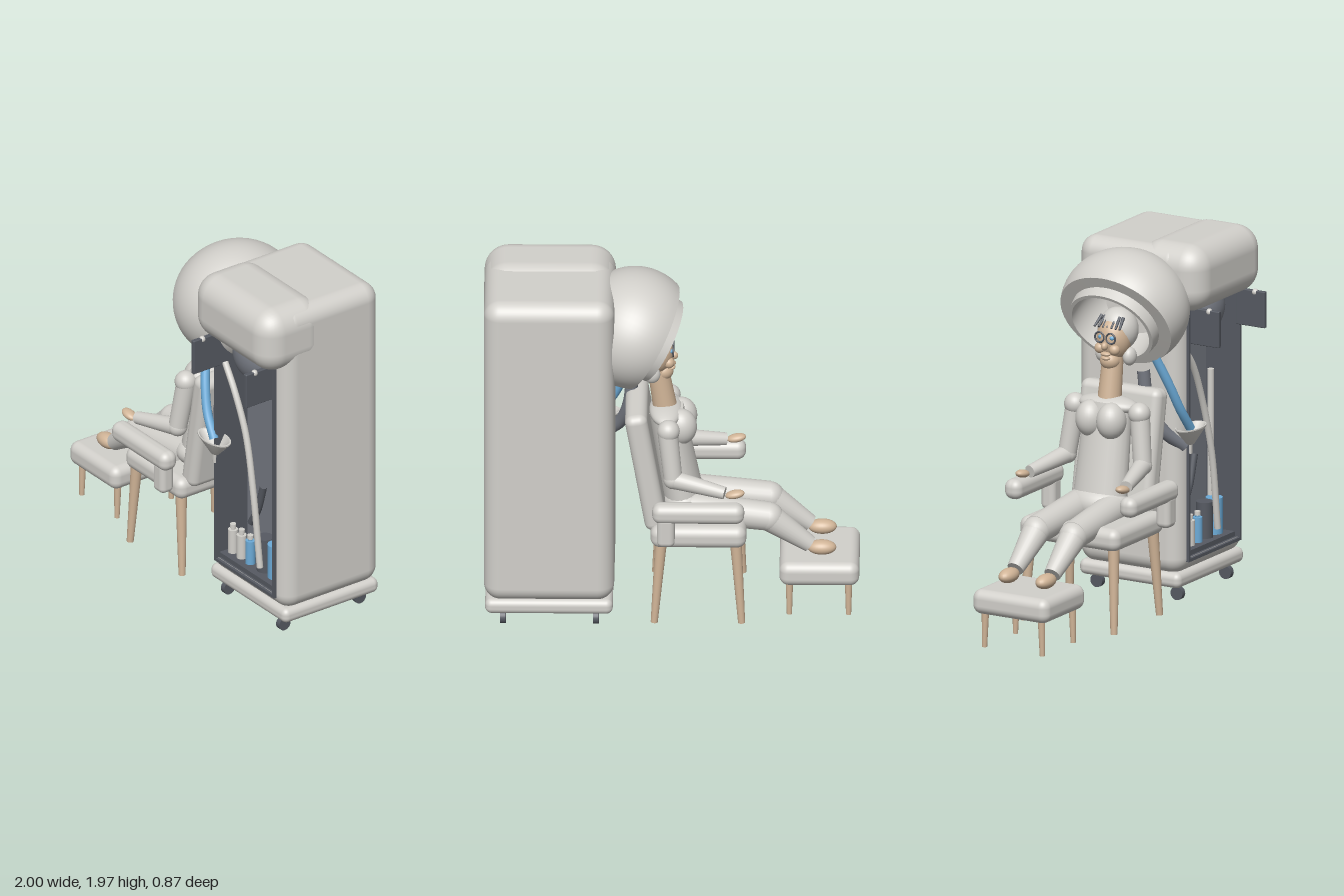
import * as THREE from 'three';
import { toCreasedNormals } from 'three/addons/utils/BufferGeometryUtils.js';
import { RoundedBoxGeometry } from 'three/addons/geometries/RoundedBoxGeometry.js';

const mat = (name, color) => Object.assign(new THREE.MeshStandardMaterial({ color }), { name });
const V = (x, y, z) => new THREE.Vector3(x, y, z);

export function createModel() {
  const shell = mat('warm grey shell', 0xd2d0cb);
  const slate = mat('slate interior', 0x777b84);
  const dark = mat('dark trim', 0x565a62);
  const tan = mat('tan skin and wood', 0xd0b497);
  const blue = mat('blue', 0x6cabd8);

  const model = new THREE.Group();
  model.name = 'salonDryer';
  const group = (name, parent = model) => {
    const g = new THREE.Group();
    g.name = name;
    parent.add(g);
    return g;
  };
  const add = (parent, name, geo, m) => {
    const mesh = new THREE.Mesh(geo, m);
    mesh.name = name;
    parent.add(mesh);
    return mesh;
  };
  // Box given by its extents, rounded when r > 0
  const box = (p, name, x0, x1, y0, y1, z0, z1, r, m) => {
    const w = x1 - x0, h = y1 - y0, d = z1 - z0;
    const geo = r ? new RoundedBoxGeometry(w, h, d, 5, r) : new THREE.BoxGeometry(w, h, d);
    const mesh = add(p, name, geo, m);
    mesh.position.set((x0 + x1) / 2, (y0 + y1) / 2, (z0 + z1) / 2);
    return mesh;
  };
  // Tapered round bar from a to b
  const bar = (p, name, a, b, ra, rb, m) => {
    const dir = b.clone().sub(a);
    const mesh = add(p, name, new THREE.CylinderGeometry(rb, ra, dir.length(), 24), m);
    mesh.position.copy(a).addScaledVector(dir, 0.5);
    mesh.quaternion.setFromUnitVectors(V(0, 1, 0), dir.normalize());
    return mesh;
  };
  const ball = (p, name, x, y, z, rx, ry, rz, m) => {
    const mesh = add(p, name, new THREE.SphereGeometry(1, 28, 18), m);
    mesh.position.set(x, y, z);
    mesh.scale.set(rx, ry, rz);
    return mesh;
  };
  const hose = (p, name, pts, r, m) =>
    add(p, name, new THREE.TubeGeometry(new THREE.CatmullRomCurve3(pts), 32, r, 14), m);
  const SIDES = [-1, 1];

  // Cabinet shell: rounded box whose flat front is left open
  const cabinet = group('cabinet');
  const body = box(cabinet, 'cabinetBody', 0.303, 0.997, 0.15, 1.95, -0.4, 0.245, 0.09, shell);
  const src = body.geometry, pos = src.attributes.position, keepP = [], keepN = [];
  for (let i = 0; i < pos.count; i += 3) {
    if ([0, 1, 2].every(k => pos.getZ(i + k) > 0.645 / 2 - 1e-4)) continue;
    for (let k = i; k < i + 3; k++) {
      keepP.push(pos.getX(k), pos.getY(k), pos.getZ(k));
      keepN.push(src.attributes.normal.getX(k), src.attributes.normal.getY(k), src.attributes.normal.getZ(k));
    }
  }
  body.geometry = new THREE.BufferGeometry();
  body.geometry.setAttribute('position', new THREE.Float32BufferAttribute(keepP, 3));
  body.geometry.setAttribute('normal', new THREE.Float32BufferAttribute(keepN, 3));
  box(cabinet, 'overhangingTop', 0.3, 1, 1.6, 1.97, -0.05, 0.37, 0.13, shell);
  box(cabinet, 'base', 0.31, 0.99, 0.08, 0.165, -0.39, 0.24, 0.035, shell);
  for (const x of [0.4, 0.895]) for (const z of [-0.32, 0.18]) {
    bar(cabinet, 'casterWheel', V(x - 0.015, 0.037, z), V(x + 0.015, 0.037, z), 0.037, 0.037, dark);
    bar(cabinet, 'casterStem', V(x, 0.04, z), V(x, 0.09, z), 0.012, 0.012, shell);
  }

  // Recess lining and frame
  box(cabinet, 'recessBack', 0.38, 0.92, 0.2, 1.75, 0.03, 0.05, 0, slate);
  for (const x of [0.383, 0.902]) box(cabinet, 'recessWall', x, x + 0.017, 0.22, 1.65, 0.03, 0.26, 0, dark);
  box(cabinet, 'recessFloor', 0.383, 0.919, 0.22, 0.237, 0.03, 0.26, 0, dark);
  box(cabinet, 'shelf', 0.405, 0.885, 0.245, 0.272, 0.05, 0.24, 0, dark);
  for (const x of [0.419, 0.887]) {
    box(cabinet, 'hingePlate', x - 0.013, x + 0.013, 1.42, 1.62, 0.25, 0.43, 0.005, dark);
    ball(cabinet, 'hingeKnob', x, 1.61, 0.365, 0.018, 0.018, 0.018, shell);
  }

  // Scalloped bowl under the overhang
  ball(cabinet, 'bowl', 0.65, 1.56, 0.17, 0.155, 0.155, 0.12, slate);
  for (let i = 0; i <= 12; i++) {
    const a = Math.PI + (i / 12) * Math.PI;
    ball(cabinet, 'bowlScallop', 0.65 + 0.147 * Math.cos(a), 1.56 + 0.147 * Math.sin(a), 0.17, 0.018, 0.018, 0.02, dark);
  }

  // Shelf contents
  const contents = group('shelfContents');
  [[0.445, shell], [0.522, shell], [0.6, blue]].forEach(([x, m]) => {
    bar(contents, 'bottle', V(x, 0.27, 0.18), V(x, 0.41, 0.18), 0.027, 0.027, m);
    bar(contents, 'bottleNeck', V(x, 0.41, 0.18), V(x, 0.425, 0.18), 0.012, 0.012, m);
    bar(contents, 'bottleCap', V(x, 0.42, 0.18), V(x, 0.442, 0.18), 0.017, 0.017, shell);
  });
  [[0.705, dark], [0.803, blue]].forEach(([x, m]) =>
    bar(contents, 'jar', V(x, 0.27, 0.16), V(x, 0.47, 0.16), 0.046, 0.046, m));
  bar(contents, 'uprightTube', V(0.833, 0.28, 0.12), V(0.833, 1.165, 0.12), 0.018, 0.018, shell);
  hose(contents, 'paleHose', [V(0.4, 1.41, 0.2), V(0.5, 1.28, 0.21), V(0.6, 1.06, 0.21), V(0.68, 0.75, 0.22), V(0.74, 0.32, 0.22)], 0.018, shell);
  hose(contents, 'darkHose', [V(0.54, 0.475, 0.13), V(0.6, 0.58, 0.13), V(0.65, 0.74, 0.13)], 0.02, dark);

  // Funnel with drain hoses
  const funnelProfile = [[0.012, 0.82], [0.014, 0.87], [0.03, 0.875], [0.12, 0.965], [0.12, 0.972], [0.11, 0.972], [0.02, 0.885], [0, 0.885]];
  const funnel = add(model, 'funnel', toCreasedNormals(new THREE.LatheGeometry(
    funnelProfile.map(([x, y]) => new THREE.Vector2(x, y)), 36), 0.6), shell);
  funnel.position.set(0.393, 0, 0.265);
  funnel.scale.z = 0.55;
  hose(model, 'blueHose', [V(0.19, 1.38, 0.17), V(0.25, 1.22, 0.22), V(0.31, 1.08, 0.25), V(0.39, 0.96, 0.265)], 0.025, blue);
  hose(model, 'greyHose', [V(0.21, 1.3, 0.08), V(0.23, 1.1, 0.1), V(0.28, 0.96, 0.16), V(0.38, 0.86, 0.23)], 0.035, slate);

  // Everything below shares the seat's centre line
  const seated = group('seatedSet');
  seated.position.z = -0.025;

  // Dryer helmet: double-walled dome with an inner lip
  const R = 0.32, profile = [];
  for (let i = 0; i <= 12; i++) {
    const a = (i / 12) * Math.PI / 2;
    profile.push(new THREE.Vector2(0.21 * Math.sin(a), -0.1 + 0.35 * Math.cos(a)));
  }
  profile.push(new THREE.Vector2(0.21, -0.17), new THREE.Vector2(0.228, -0.17), new THREE.Vector2(0.235, -0.11));
  for (let i = 24; i >= 0; i--) {
    const a = (i / 24) * 1.92;
    profile.push(new THREE.Vector2(R * Math.sin(a), R * Math.cos(a)));
  }
  const helmet = add(seated, 'dryerHelmet', toCreasedNormals(new THREE.LatheGeometry(profile, 56), 0.6), shell);
  helmet.position.set(0.197, 1.633, 0);
  helmet.rotation.z = -1.076;
  helmet.scale.z = 1.11;

  // Armchair
  const chair = group('armchair', seated);
  box(chair, 'seat', -0.4, 0.11, 0.45, 0.575, -0.31, 0.31, 0.05, shell);
  const back = box(chair, 'backrest', 0.075, 0.195, 0.52, 1.22, -0.25, 0.25, 0.045, shell);
  back.rotation.z = -0.17;
  for (const s of SIDES) {
    const arm = (n, x0, x1, y0, y1, w, r) => box(chair, n, x0, x1, y0, y1, s * 0.358 - w, s * 0.358 + w, r, shell);
    arm('armrest', -0.39, 0.1, 0.65, 0.76, 0.052, 0.045);
    arm('armrestPost', -0.02, 0.075, 0.51, 0.69, 0.043, 0.03);
    bar(chair, 'frontLeg', V(-0.375, 0, s * 0.28), V(-0.345, 0.46, s * 0.26), 0.019, 0.031, tan);
    bar(chair, 'rearLeg', V(0.09, 0, s * 0.28), V(0.055, 0.46, s * 0.26), 0.019, 0.031, tan);
  }

  // Footstool
  const stool = group('footstool', seated);
  box(stool, 'stoolCushion', -1, -0.575, 0.185, 0.32, -0.237, 0.237, 0.05, shell);
  for (const x of [-0.943, -0.628]) for (const s of SIDES)
    bar(stool, 'stoolLeg', V(x, 0, s * 0.18), V(x, 0.2, s * 0.175), 0.014, 0.02, tan);

  // Figure: torso, head
  const figure = group('figure', seated);
  const torso = bar(figure, 'torso', V(-0.07, 0.58, 0), V(0.03, 1.15, 0), 0.11, 0.095, shell);
  torso.scale.z = 1.45;
  ball(figure, 'hips', -0.07, 0.62, 0, 0.13, 0.1, 0.18, shell);
  ball(figure, 'shoulders', 0.03, 1.14, 0, 0.09, 0.05, 0.18, shell);
  bar(figure, 'neck', V(0.03, 1.12, 0), V(0.075, 1.4, 0), 0.066, 0.056, tan);
  ball(figure, 'skull', 0.085, 1.49, 0, 0.095, 0.12, 0.095, tan);
  ball(figure, 'jaw', 0.045, 1.375, 0, 0.055, 0.05, 0.055, tan);
  ball(figure, 'nose', -0.012, 1.465, 0, 0.022, 0.022, 0.018, tan);
  ball(figure, 'upperLip', -0.002, 1.42, 0, 0.02, 0.012, 0.03, tan);
  ball(figure, 'lowerLip', 0, 1.397, 0, 0.02, 0.012, 0.026, tan);
  ball(figure, 'hair', 0.125, 1.53, 0, 0.105, 0.12, 0.112, shell);
  for (const s of SIDES) {
    ball(figure, 'cheek', 0.015, 1.445, s * 0.045, 0.03, 0.03, 0.03, tan);
    ball(figure, 'eye', 0.005, 1.51, s * 0.035, 0.012, 0.012, 0.014, blue);
    const rim = add(figure, 'glassesRim', new THREE.TorusGeometry(0.028, 0.005, 8, 24), dark);
    rim.position.set(-0.008, 1.51, s * 0.035);
    rim.rotation.y = Math.PI / 2;
    ball(figure, 'earPad', 0.105, 1.395, s * 0.085, 0.045, 0.05, 0.035, shell);
  }
  for (let i = -3; i <= 3; i++)
    bar(figure, 'fringeStrand', V(0.07, 1.61, i * 0.022), V(0.012, 1.56, i * 0.026), 0.01, 0.006, dark);

  // Mirrored bust, arms and legs
  for (const s of SIDES) {
    const arm = group(s > 0 ? 'rearArm' : 'otherArm', figure);
    arm.name = s > 0 ? 'rightArm' : 'leftArm';
    arm.name += 'Assembly';
    ball(figure, 'bust', -0.05, 1.07, s * 0.065, 0.085, 0.1, 0.08, shell);
    ball(arm, 'shoulder', 0.015, 1.115, s * 0.2, 0.06, 0.06, 0.06, shell);
    bar(arm, 'upperArm', V(0.02, 1.11, s * 0.2), V(-0.01, 0.84, s * 0.235), 0.054, 0.05, shell);
    ball(arm, 'elbow', -0.01, 0.84, s * 0.235, 0.052, 0.052, 0.052, shell);
    bar(arm, 'forearm', V(-0.01, 0.84, s * 0.235), V(-0.285, 0.795, s * 0.3), 0.05, 0.034, shell);
    ball(arm, 'hand', -0.34, 0.795, s * 0.312, 0.052, 0.022, 0.032, tan).rotation.z = -0.2;

    const leg = group(s > 0 ? 'rightLeg' : 'leftLeg', figure);
    bar(leg, 'thigh', V(-0.1, 0.6, s * 0.1), V(-0.52, 0.555, s * 0.115), 0.085, 0.078, shell);
    ball(leg, 'knee', -0.52, 0.552, s * 0.115, 0.078, 0.078, 0.078, shell);
    bar(leg, 'shin', V(-0.52, 0.55, s * 0.115), V(-0.735, 0.39, s * 0.115), 0.076, 0.046, shell);
    ball(leg, 'foot', -0.8, 0.37, s * 0.115, 0.077, 0.04, 0.046, tan);
  }
  return model;
}
